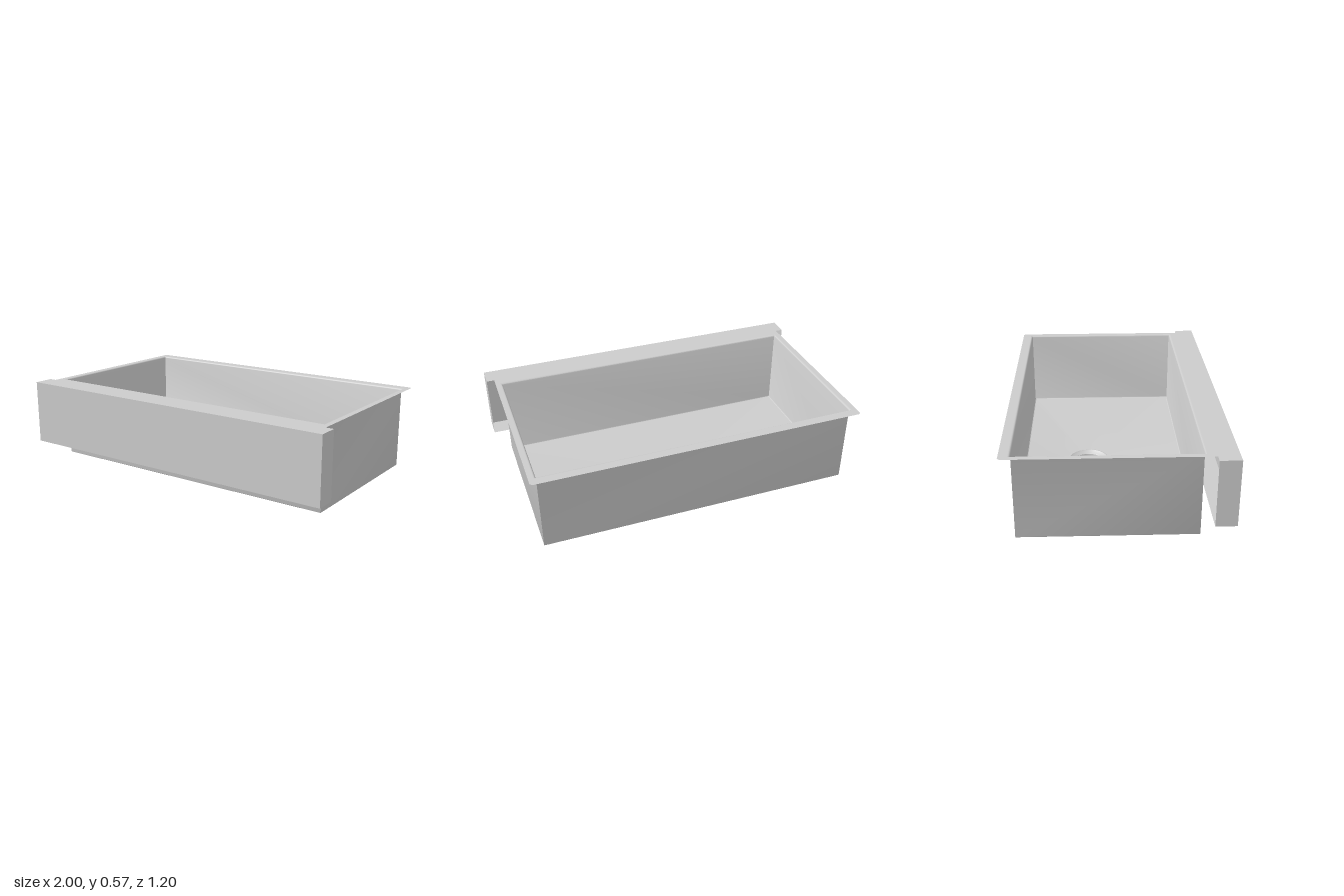
import * as THREE from 'three';
import { toCreasedNormals } from 'three/addons/utils/BufferGeometryUtils.js';

const metal = new THREE.MeshStandardMaterial({ color: 0xcccccc, side: THREE.DoubleSide });
const TOP = 0.575, FLOOR = 0.095;
const WALL = { x: 0.913, back: -0.538, front: 0.426 };
const DRAIN_Z = -0.155;

function add(parent, name, geometry, x = 0, y = 0, z = 0) {
  const mesh = new THREE.Mesh(geometry, metal);
  mesh.name = name;
  mesh.position.set(x, y, z);
  parent.add(mesh);
  return mesh;
}

// Rectangle around the bowl, grown by d, with n segments per side
function rectRing(d, y, n = 1) {
  const x = WALL.x + d, b = WALL.back - d, f = WALL.front + d;
  const c = [[-x, b], [-x, f], [x, f], [x, b]];
  const ring = [];
  for (let s = 0; s < 4; s++) {
    const p = c[s], q = c[(s + 1) % 4];
    for (let i = 0; i < n; i++) {
      const t = i / n;
      ring.push([p[0] + (q[0] - p[0]) * t, y, p[1] + (q[1] - p[1]) * t]);
    }
  }
  return ring;
}

// Skin closed rings of equal length
function loft(rings) {
  const n = rings[0].length, index = [];
  for (let r = 0; r < rings.length - 1; r++) {
    for (let i = 0; i < n; i++) {
      const a = r * n + i, b = r * n + (i + 1) % n;
      index.push(a, b, a + n, b, b + n, a + n);
    }
  }
  const g = new THREE.BufferGeometry();
  g.setAttribute('position', new THREE.Float32BufferAttribute(rings.flat(2), 3));
  g.setIndex(index);
  return toCreasedNormals(g, 0.6);
}

export function createModel() {
  const sink = new THREE.Group();
  sink.name = 'apronSink';

  // Walls with a rounded lip at the top and a small rounding at the floor
  const R = 0.013, walls = [];
  for (let i = 0; i <= 5; i++) {
    const a = (i / 5) * Math.PI / 2;
    walls.push(rectRing(R * (1 - Math.sin(a)), TOP - R * (1 - Math.cos(a))));
  }
  walls.push(rectRing(0, FLOOR + 0.006), rectRing(-0.002, FLOOR + 0.002), rectRing(-0.006, FLOOR));
  add(sink, 'bowlWalls', loft(walls));

  // Floor falling from the walls to the round drain opening
  const outer = rectRing(-0.006, FLOOR, 20);
  const opening = outer.map(([x, , z]) => {
    const a = Math.atan2(z - DRAIN_Z, x);
    return [0.12 * Math.cos(a), 0.073, DRAIN_Z + 0.12 * Math.sin(a)];
  });
  const floorRings = [];
  for (let k = 0; k <= 6; k++) {
    floorRings.push(outer.map((p, i) => p.map((v, j) => v + (opening[i][j] - v) * k / 6)));
  }
  add(sink, 'bowlFloor', loft(floorRings));

  // Flat rim, widening at the front into the top of the apron (shape y is -z)
  const rim = new THREE.Shape([
    [-1, -0.6], [1, -0.6], [1, -0.485], [0.955, -0.485], [0.955, 0.588], [0.943, 0.6],
    [-0.943, 0.6], [-0.955, 0.588], [-0.955, -0.485], [-1, -0.485],
  ].map(p => new THREE.Vector2(...p)));
  rim.holes.push(new THREE.Path(rectRing(R, 0).map(([x, , z]) => new THREE.Vector2(x, -z))));
  add(sink, 'rim', new THREE.ShapeGeometry(rim).rotateX(-Math.PI / 2), 0, TOP, 0);

  // Apron: folded sheet, open at the back
  const apron = new THREE.Group();
  apron.name = 'apron';
  sink.add(apron);
  const bottom = 0.198, height = TOP - bottom, midY = (TOP + bottom) / 2, depth = 0.115;
  add(apron, 'apronFront', new THREE.PlaneGeometry(2, height), 0, midY, 0.6);
  add(apron, 'apronBottom', new THREE.PlaneGeometry(2, depth).rotateX(Math.PI / 2), 0, bottom, 0.5425);
  for (const s of [-1, 1]) {
    add(apron, s > 0 ? 'apronEndLeft' : 'apronEndRight',
      new THREE.PlaneGeometry(depth, height).rotateY(s * Math.PI / 2), s, midY, 0.5425);
  }

  // Drain: stepped flange and cup
  const drain = new THREE.Group();
  drain.name = 'drain';
  drain.position.z = DRAIN_Z;
  sink.add(drain);
  const profile = [
    [0, 0.015], [0.079, 0.015], [0.083, 0.019], [0.083, 0.04], [0.093, 0.044],
    [0.095, 0.055], [0.102, 0.06], [0.118, 0.066], [0.125, 0.074], [0.118, 0.076],
  ].map(p => new THREE.Vector2(...p));
  add(drain, 'drainCup', toCreasedNormals(new THREE.LatheGeometry(profile, 48), 0.5));

  // Strainer knob inside and stem below
  add(drain, 'drainKnob', new THREE.CylinderGeometry(0.015, 0.015, 0.025, 20), 0, 0.0275, 0);
  add(drain, 'drainStem', new THREE.CylinderGeometry(0.008, 0.008, 0.016, 16), 0, 0.008, 0);

  return sink;
}
